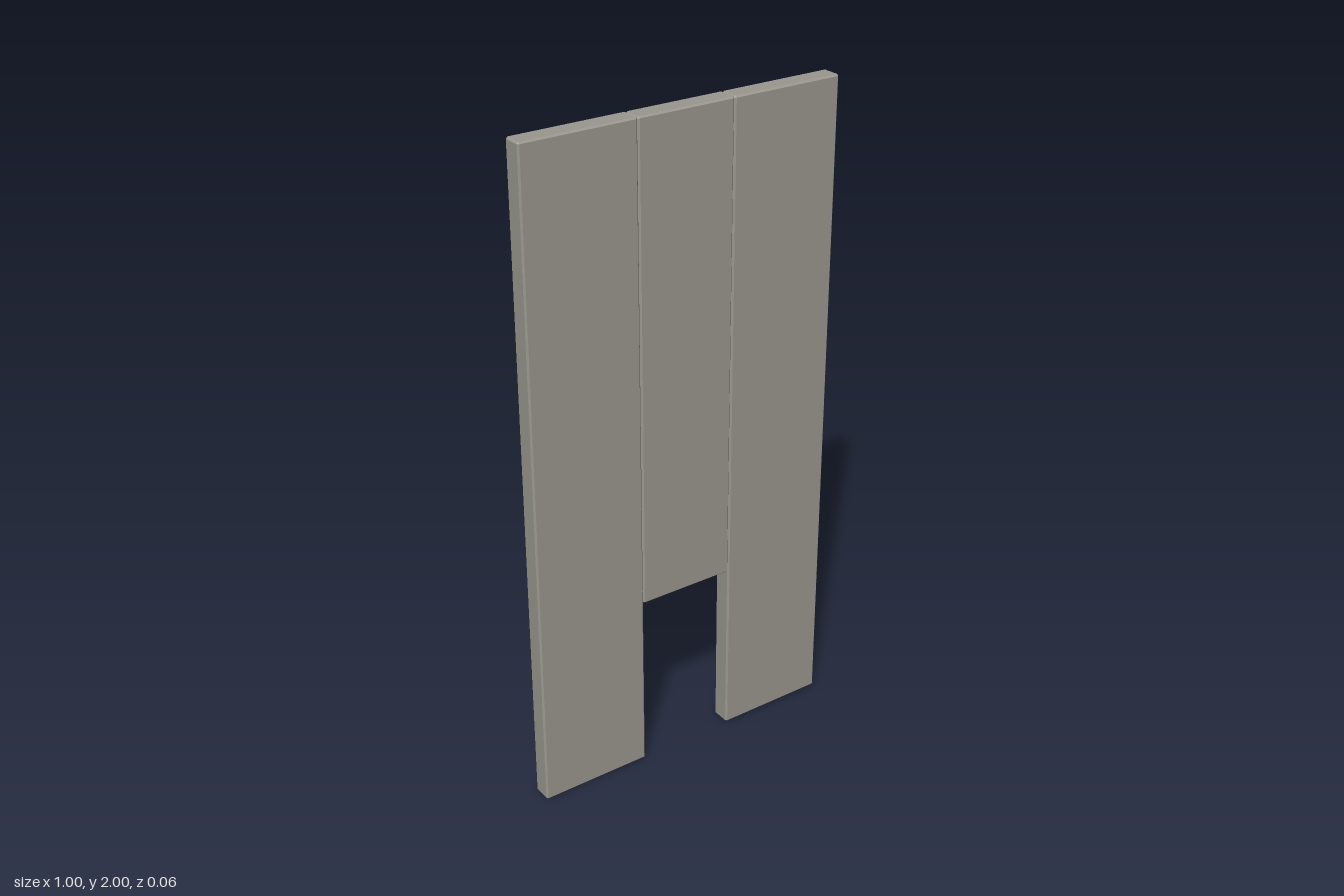
import * as THREE from 'three';
import { ConvexGeometry } from 'three/addons/geometries/ConvexGeometry.js';

const HEIGHT = 2, THICKNESS = 0.06, BEVEL = 0.005;
const HALF_WIDTH = 0.499, SEAM = 0.151, NOTCH = 0.553;

// Box with flat bevels: each corner is cut into three points, one per adjoining face
function bevelledBox(width, height, depth) {
  const points = [];
  for (const sx of [-1, 1]) for (const sy of [-1, 1]) for (const sz of [-1, 1]) {
    const x = width / 2, y = height / 2, z = depth / 2;
    points.push(
      new THREE.Vector3(sx * x, sy * (y - BEVEL), sz * (z - BEVEL)),
      new THREE.Vector3(sx * (x - BEVEL), sy * y, sz * (z - BEVEL)),
      new THREE.Vector3(sx * (x - BEVEL), sy * (y - BEVEL), sz * z));
  }
  return new ConvexGeometry(points);
}

export function createModel() {
  const group = new THREE.Group();
  group.name = 'plankPanel';
  const material = new THREE.MeshStandardMaterial({ color: 0x99978e });

  // Upright board spanning x0..x1 and bottom..HEIGHT
  function addPlank(name, x0, x1, bottom) {
    const height = HEIGHT - bottom;
    const plank = new THREE.Mesh(bevelledBox(x1 - x0, height, THICKNESS), material);
    plank.name = name;
    plank.position.set((x0 + x1) / 2, bottom + height / 2, 0);
    group.add(plank);
  }

  // Two full-height side boards and a shorter middle board that leaves the opening
  addPlank('leftPlank', SEAM, HALF_WIDTH, 0);
  addPlank('rightPlank', -HALF_WIDTH, -SEAM, 0);
  addPlank('middlePlank', -SEAM, SEAM, NOTCH);

  return group;
}
